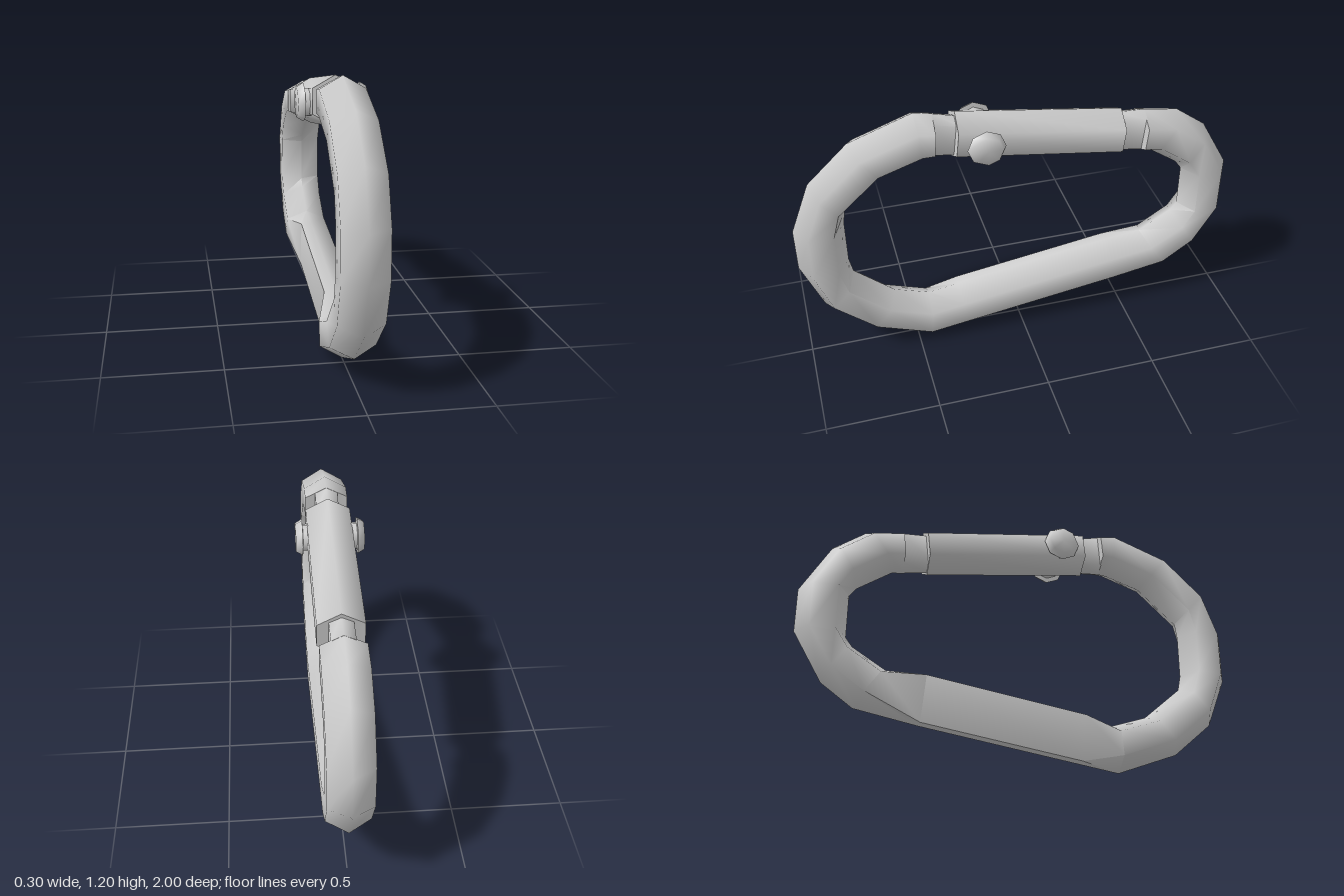
import * as THREE from 'three';
import { toCreasedNormals } from 'three/addons/utils/BufferGeometryUtils.js';

const CREASE = THREE.MathUtils.degToRad(65);
const material = new THREE.MeshStandardMaterial({ color: 0xcccccc });

// Six-sided cross-section from an outer and an inner point in the yz plane.
// Each side has a half-width w and corners set in by the fraction f.
function section([zo, yo, zi, yi], right = [0.095, 0.25], left = right) {
  const at = (x, f) => [x, yo + (yi - yo) * f, zo + (zi - zo) * f];
  return [
    at(0, 0), at(right[0], right[1]), at(right[0], 1 - right[1]),
    at(0, 1), at(-left[0], 1 - left[1]), at(-left[0], left[1]),
  ];
}

// Skin a row of cross-sections and cap both ends
function loft(sections) {
  const n = sections[0].length;
  const index = [];
  for (let i = 0; i < sections.length - 1; i++) {
    for (let j = 0; j < n; j++) {
      const a = i * n + j, b = i * n + (j + 1) % n;
      index.push(a, a + n, b, b, a + n, b + n);
    }
  }
  const last = (sections.length - 1) * n;
  for (let j = 1; j < n - 1; j++) {
    index.push(0, j, j + 1, last, last + j + 1, last + j);
  }
  const geometry = new THREE.BufferGeometry();
  geometry.setAttribute('position', new THREE.Float32BufferAttribute(sections.flat(2), 3));
  geometry.setIndex(index);
  return geometry;
}

export function createModel() {
  const group = new THREE.Group();
  const add = (name, geometry) => {
    const mesh = new THREE.Mesh(toCreasedNormals(geometry, CREASE), material);
    mesh.name = name;
    group.add(mesh);
    return mesh;
  };

  // Open ring: outer z, y and inner z, y at each bend
  const frontBend = [
    [0.37, 1.185, 0.385, 0.985], [0.45, 1.2, 0.43, 0.98], [0.73, 1.1, 0.59, 0.93],
    [0.91, 0.93, 0.77, 0.77], [1, 0.7, 0.78, 0.7], [1, 0.5, 0.78, 0.5],
    [0.91, 0.27, 0.765, 0.43], [0.73, 0.11, 0.59, 0.275], [0.45, 0, 0.43, 0.22],
  ];
  const flatBar = [[0.27, 0.026, 0.29, 0.242], [-0.45, 0.13, -0.43, 0.348]];
  const rearBend = [
    [-0.73, 0.18, -0.6, 0.368], [-0.87, 0.28, -0.75, 0.46], [-1, 0.5, -0.78, 0.5],
    [-1, 0.7, -0.78, 0.7], [-0.87, 0.925, -0.75, 0.74], [-0.73, 1.025, -0.6, 0.842],
    [-0.57, 1.05, -0.55, 0.848],
  ];
  // The lower bar is planed flat on its -x side
  add('ring', loft([
    ...frontBend.map((p) => section(p)),
    ...flatBar.map((p) => section(p, [0.095, 0.25], [0.05, 0])),
    ...rearBend.map((p) => section(p)),
  ]));

  // Narrow flat-sided tongues joining the ring ends to the gate
  const tongues = {
    frontTongue: [[0.26, 1.155, 0.28, 0.975], [0.375, 1.185, 0.39, 0.985]],
    rearTongue: [[-0.575, 1.05, -0.555, 0.848], [-0.44, 1.055, -0.42, 0.872]],
  };
  for (const [name, ends] of Object.entries(tongues)) {
    add(name, loft(ends.map((p) => section(p, [0.05, 0.13]))));
  }

  // Gate sleeve
  add('gate', loft([
    section([-0.465, 1.073, -0.44, 0.857], [0.098, 0.25]),
    section([0.275, 1.18, 0.298, 0.965], [0.098, 0.25]),
  ]));

  // Hinge pin with a tapered head at each end
  const half = [[0, 0.15], [0.065, 0.15], [0.083, 0.12], [0.06, 0.118]];
  const profile = [
    ...half.map(([r, x]) => new THREE.Vector2(r, -x)),
    ...half.map(([r, x]) => new THREE.Vector2(r, x)).reverse(),
  ];
  const pin = add('hingePin', new THREE.LatheGeometry(profile, 8));
  pin.rotation.z = Math.PI / 2;
  pin.position.set(0, 1.053, 0.168);

  return group;
}
